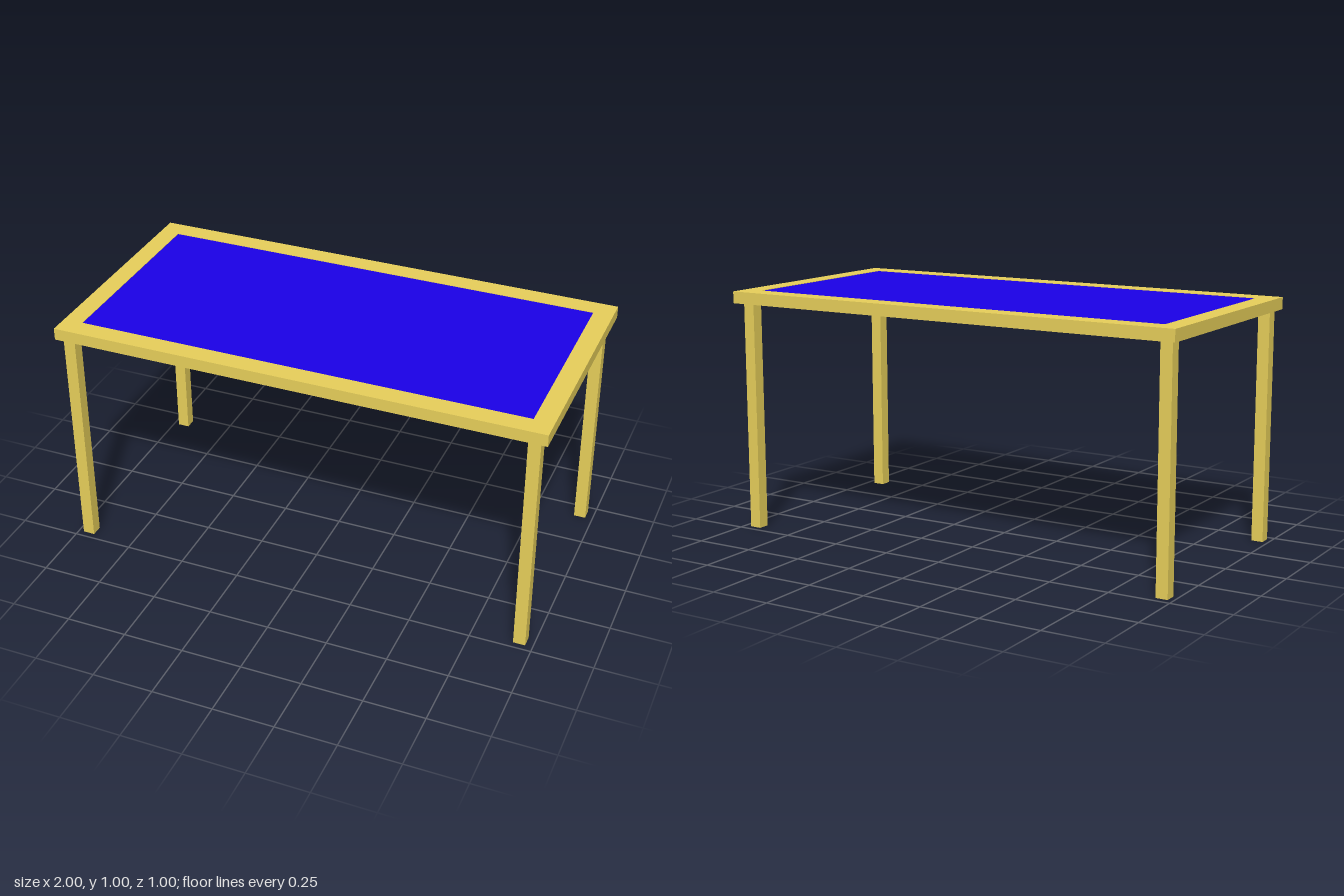
import * as THREE from 'three';

export function createModel() {
  const model = new THREE.Group();
  const wood = new THREE.MeshStandardMaterial({ color: 0xe7cf5a });
  wood.name = 'light wood';
  const blue = new THREE.MeshStandardMaterial({ color: 0x1b00e7, side: THREE.DoubleSide });
  blue.name = 'deep blue';

  const add = (name, geometry, material, x, y, z) => {
    const mesh = new THREE.Mesh(geometry, material);
    mesh.name = name;
    mesh.position.set(x, y, z);
    model.add(mesh);
  };
  const rectangle = (Type, w, h) => {
    const path = new Type();
    path.moveTo(-w, -h).lineTo(w, -h).lineTo(w, h).lineTo(-w, h).closePath();
    return path;
  };

  // Table top frame with a rectangular opening
  const outline = rectangle(THREE.Shape, 1, 0.5);
  outline.holes.push(rectangle(THREE.Path, 0.92, 0.417));
  const frame = new THREE.ExtrudeGeometry(outline, { depth: 0.049, bevelEnabled: false });
  frame.rotateX(-Math.PI / 2);
  add('tableFrame', frame, wood, 0, 0.953, 0);

  // Thin inset panel, almost flush with the frame's upper face
  const panel = new THREE.PlaneGeometry(1.84, 0.834);
  panel.rotateX(-Math.PI / 2);
  add('insetPanel', panel, blue, 0, 1, 0);

  // Four square legs, stopping just short of the frame
  const leg = new THREE.BoxGeometry(0.049, 0.948, 0.049);
  for (const [side, x] of [['right', -0.953], ['left', 0.945]]) {
    for (const [end, z] of [['Front', 0.449], ['Back', -0.445]]) {
      add(`${side}${end}Leg`, leg, wood, x, 0.474, z);
    }
  }
  return model;
}
